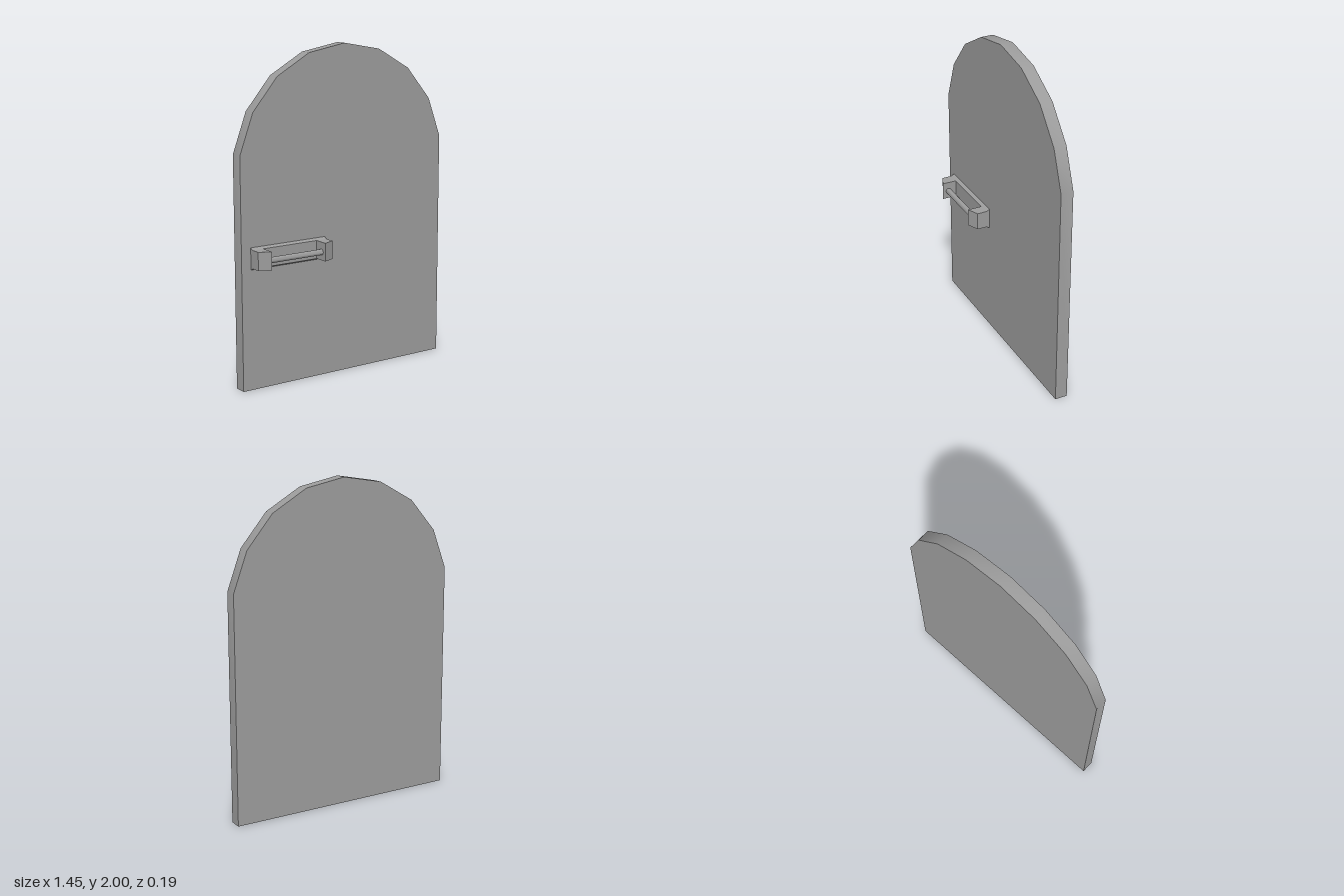
import * as THREE from 'three';
import { mergeGeometries, toCreasedNormals } from 'three/addons/utils/BufferGeometryUtils.js';

// Double-sided because the door panel is hollow and open at the bottom
const grey = new THREE.MeshStandardMaterial({ color: 0x9c9c9c, side: THREE.DoubleSide });

function part(name, geometry, crease) {
  const mesh = new THREE.Mesh(toCreasedNormals(geometry, crease), grey);
  mesh.name = name;
  return mesh;
}

function outline(points) {
  return new THREE.Shape(points.map(([x, y]) => new THREE.Vector2(x, y)));
}

function extrude(points, depth) {
  return new THREE.ExtrudeGeometry(outline(points), { depth, bevelEnabled: false });
}

// Rim strip that follows the points from one foot of the door to the other
function rimStrip(points, back, front) {
  const steps = points.length - 1;
  const strip = new THREE.PlaneGeometry(steps, 1, steps, 1);
  strip.translate(steps / 2, 0.5, 0);
  const pos = strip.attributes.position;
  for (let i = 0; i < pos.count; i++) {
    const [x, y] = points[Math.round(pos.getX(i))];
    pos.setXYZ(i, x, y, pos.getY(i) > 0.5 ? front : back);
  }
  return strip;
}

export function createModel() {
  const model = new THREE.Group();
  model.name = 'archedDoor';

  // Door panel: straight sides and a faceted arch, mirrored about x = 0
  const back = -0.095, front = -0.018;
  const half = [[0.724, 0], [0.724, 1.395], [0.635, 1.635], [0.47, 1.83], [0.25, 1.955]];
  const mirrored = half.map(([x, y]) => [-x, y]).reverse();
  const arch = [...half, [0, 2], ...mirrored];
  const frontFace = new THREE.ShapeGeometry(outline(arch)).translate(0, 0, front);
  const backFace = new THREE.ShapeGeometry(outline(arch)).rotateY(Math.PI).translate(0, 0, back);
  model.add(part('doorPanel', mergeGeometries([frontFace, backFace, rimStrip(arch, back, front)]), 0.45));

  // Handle, built around its own middle
  const handle = new THREE.Group();
  handle.name = 'handle';
  handle.position.set(-0.405, 0.791, 0);
  model.add(handle);

  // Back plate: profile in (z, y) flaring towards the door, extruded along x
  const plate = extrude(
    [[front, -0.066], [0.004, -0.055], [0.004, 0.055], [front, 0.066]], 0.514);
  plate.rotateY(-Math.PI / 2);
  plate.translate(0.257, 0, 0);
  handle.add(part('backPlate', plate, 0.2));

  // End posts: plan outline with a slanted front, extruded along y
  for (const side of [-1, 1]) {
    const plan = [[0.185, 0], [0.257, 0], [0.257, 0.064], [0.185, 0.095]];
    const post = extrude(plan.map(([x, z]) => [side * x, -z]), 0.11);
    post.rotateX(-Math.PI / 2);
    post.translate(0, -0.055, 0);
    handle.add(part(side < 0 ? 'rightPost' : 'leftPost', post, 0.2));
  }

  // Grip bar between the posts
  const bar = new THREE.CylinderGeometry(0.018, 0.018, 0.38, 12);
  bar.rotateZ(Math.PI / 2);
  bar.translate(0, -0.005, 0.056);
  handle.add(part('gripBar', bar, 0.7));

  return model;
}
